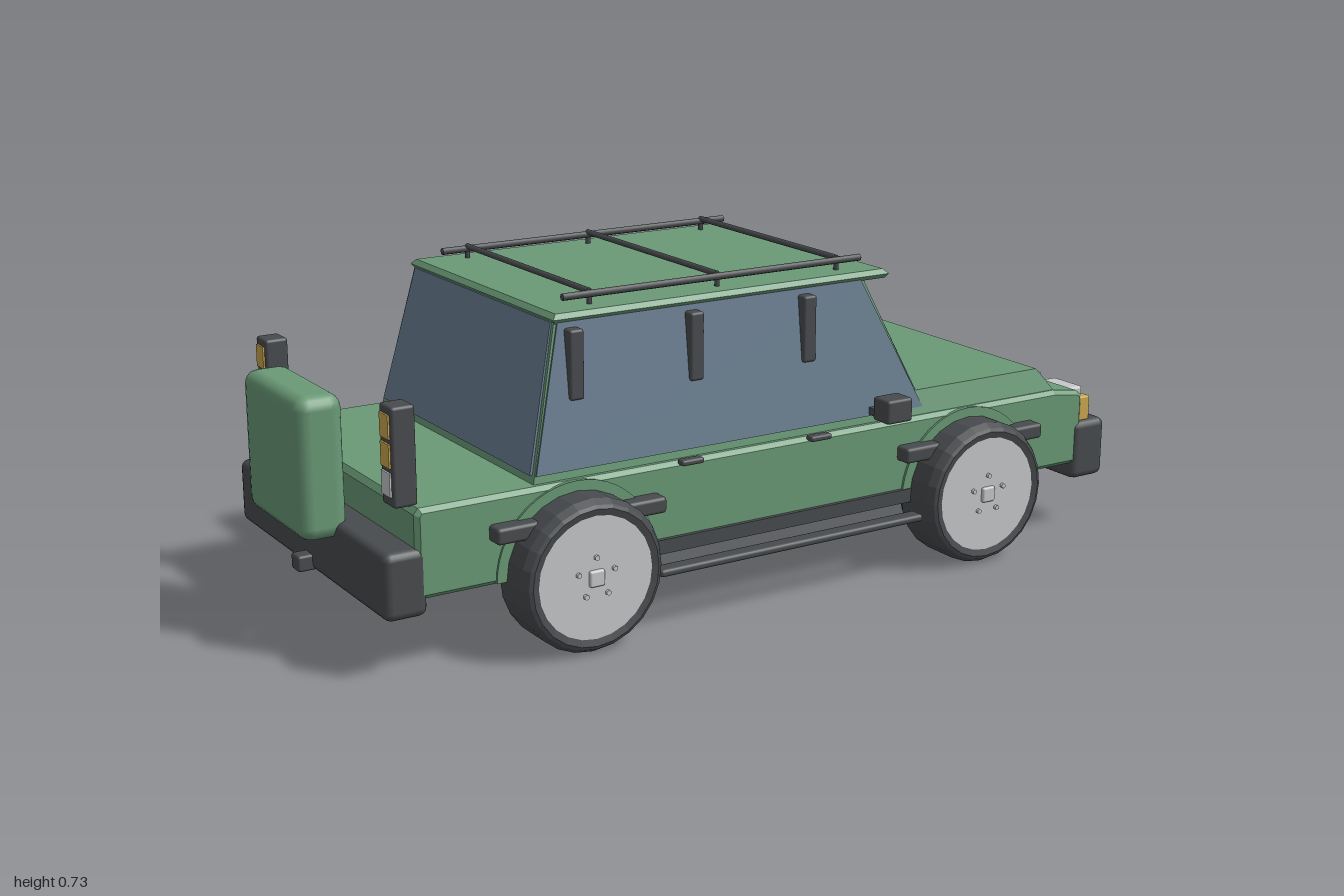
import * as THREE from 'three';
import { RoundedBoxGeometry } from 'three/addons/geometries/RoundedBoxGeometry.js';

const mat = (name, color) => {
  const m = new THREE.MeshStandardMaterial({ color });
  m.name = name;
  return m;
};

export function createModel() {
  const green = mat('body green', 0x6a9a77);
  const glass = mat('window blue', 0x6a7e91);
  const dark = mat('dark trim', 0x484b4e);
  const light = mat('light grey', 0xc6c8ca);
  const amber = mat('amber lamp', 0xcba850);

  const car = new THREE.Group();
  car.name = 'offRoadCar';

  const add = (name, geo, material, parent = car) => {
    const m = new THREE.Mesh(geo, material);
    m.name = name;
    parent.add(m);
    return m;
  };
  // Box given by its limits on each axis, rounded when r > 0
  const box = (name, material, [x0, x1], [y0, y1], [z0, z1], r = 0, parent = car) => {
    const s = [x1 - x0, y1 - y0, z1 - z0];
    const g = r ? new RoundedBoxGeometry(...s, 2, r) : new THREE.BoxGeometry(...s);
    g.translate((x0 + x1) / 2, (y0 + y1) / 2, (z0 + z1) / 2);
    return add(name, g, material, parent);
  };
  // The same box on both sides of the car
  const pair = (name, material, xs, ys, [z0, z1], r = 0) => {
    box(name + 'Left', material, xs, ys, [z0, z1], r);
    box(name + 'Right', material, xs, ys, [-z1, -z0], r);
  };
  // Box with different bottom and top rectangles: [x0, x1, halfZ, y]
  const taper = (name, material, bottom, top) => {
    const g = new THREE.BoxGeometry(1, 1, 1);
    const p = g.attributes.position;
    for (let i = 0; i < p.count; i++) {
      const [x0, x1, hz, y] = p.getY(i) > 0 ? top : bottom;
      p.setXYZ(i, p.getX(i) > 0 ? x1 : x0, y, p.getZ(i) > 0 ? hz : -hz);
    }
    g.computeVertexNormals();
    return add(name, g, material);
  };
  const rod = (name, a, b, r, material = dark) => {
    const from = new THREE.Vector3(...a), to = new THREE.Vector3(...b);
    const dir = to.clone().sub(from);
    const m = add(name, new THREE.CylinderGeometry(r, r, dir.length(), 8), material);
    m.position.copy(from).addScaledVector(dir, 0.5);
    m.quaternion.setFromUnitVectors(new THREE.Vector3(0, 1, 0), dir.normalize());
    return m;
  };

  // Lower body: side profile extruded across the width
  const e = 0.01;
  const profile = new THREE.Shape([
    [-0.855, 0.165], [0.92, 0.165], [0.92, 0.335], [0.905, 0.347], [0.83, 0.358], [-0.845, 0.358], [-0.855, 0.345],
  ].map(([x, y]) => new THREE.Vector2(x, y)));
  const bodyGeo = new THREE.ExtrudeGeometry(profile, {
    depth: 0.776 - 2 * e, bevelEnabled: true, bevelThickness: e, bevelSize: e, bevelOffset: -e, bevelSegments: 1,
  });
  bodyGeo.translate(0, 0, -0.388 + e);
  add('lowerBody', bodyGeo, green);
  taper('hood', green, [0.36, 0.84, 0.377, 0.35], [0.36, 0.79, 0.36, 0.413]);

  // Cabin with window plates on each side
  taper('cabinFrame', green, [-0.58, 0.452, 0.37, 0.35], [-0.502, 0.29, 0.328, 0.685]);
  taper('sideWindows', glass, [-0.572, 0.438, 0.371, 0.375], [-0.496, 0.282, 0.332, 0.683]);
  taper('endWindows', glass, [-0.58, 0.449, 0.357, 0.375], [-0.506, 0.295, 0.32, 0.683]);
  taper('roofEdge', green, [-0.5, 0.35, 0.33, 0.68], [-0.508, 0.357, 0.337, 0.69]);
  taper('roof', green, [-0.508, 0.357, 0.337, 0.69], [-0.498, 0.345, 0.328, 0.701]);
  for (const x of [-0.465, -0.17, 0.125]) {
    pair('windowPillar', dark, [x - 0.017, x + 0.017], [0.52, 0.67], [0.325, 0.36], 0.006);
  }

  // Roof rack
  for (const z of [-0.28, 0.28]) rod('rackRail', [-0.455, 0.722, z], [0.315, 0.722, z], 0.008);
  for (const x of [-0.39, -0.07, 0.25]) {
    rod('rackCrossbar', [x, 0.728, -0.28], [x, 0.728, 0.28], 0.007);
    for (const z of [-0.28, 0.28]) rod('rackFoot', [x, 0.697, z], [x, 0.722, z], 0.006);
  }

  // Bumpers, hitch and skid plate
  box('frontBumper', dark, [0.892, 0.993], [0.125, 0.27], [-0.393, 0.393], 0.018);
  box('rearBumper', dark, [-0.927, -0.832], [0.13, 0.275], [-0.39, 0.39], 0.018);
  box('numberPlate', light, [0.988, 0.997], [0.15, 0.2], [-0.088, 0.088]);
  box('skidPlate', light, [0.925, 0.982], [0.108, 0.13], [-0.155, 0.155]);
  box('towHitch', dark, [-0.96, -0.85], [0.132, 0.168], [-0.02, 0.02], 0.006);

  // Grille and front lamps
  box('grilleFrame', light, [0.9, 0.94], [0.25, 0.35], [-0.212, 0.212]);
  box('grille', dark, [0.935, 0.945], [0.25, 0.34], [-0.193, 0.193]);
  pair('headlight', light, [0.9, 0.953], [0.25, 0.345], [0.25, 0.35], 0.008);
  pair('indicator', amber, [0.92, 0.952], [0.25, 0.327], [0.348, 0.378], 0.004);

  // Spare wheel case and bracket
  box('spareCase', green, [-1, -0.895], [0.24, 0.55], [-0.154, 0.154], 0.03);
  box('spareBracket', dark, [-0.9, -0.855], [0.35, 0.425], [-0.035, 0.035]);

  // Tail lamps with three lenses facing back
  pair('tailLampHousing', dark, [-0.885, -0.832], [0.355, 0.565], [0.297, 0.355], 0.007);
  [light, amber, amber].forEach((m, i) => {
    const y = 0.378 + i * 0.06;
    pair('tailLens', m, [-0.889, -0.88], [y, y + 0.05], [0.306, 0.346]);
  });

  // Mirrors, door handles, sills and side steps
  pair('mirror', dark, [0.265, 0.335], [0.378, 0.433], [0.408, 0.465], 0.007);
  pair('mirrorArm', dark, [0.285, 0.315], [0.378, 0.395], [0.355, 0.412]);
  for (const x of [-0.208, 0.13]) {
    pair('doorHandle', dark, [x - 0.028, x + 0.028], [0.349, 0.362], [0.38, 0.404], 0.005);
  }
  pair('sill', dark, [-0.34, 0.41], [0.16, 0.192], [0.375, 0.398]);
  pair('sideStep', dark, [-0.32, 0.385], [0.129, 0.146], [0.414, 0.453], 0.007);

  // Wheels: faceted tyre ring around a light rim
  const tyreGeo = new THREE.LatheGeometry([
    [0.135, -0.062], [0.15, -0.066], [0.158, -0.062], [0.168, -0.045],
    [0.168, 0.045], [0.158, 0.062], [0.15, 0.066], [0.135, 0.062],
  ].map(([r, y]) => new THREE.Vector2(r, y)), 24).rotateX(Math.PI / 2).toNonIndexed();
  tyreGeo.computeVertexNormals();
  const rimGeo = new THREE.CylinderGeometry(0.138, 0.138, 0.124, 24).rotateX(Math.PI / 2);
  const boltGeo = new THREE.CylinderGeometry(0.006, 0.006, 0.01, 6).rotateX(Math.PI / 2);
  const archGeo = new THREE.CylinderGeometry(0.187, 0.19, 0.02, 24, 1, false, -Math.PI / 2, Math.PI);
  archGeo.rotateX(-Math.PI / 2);
  for (const x of [-0.49, 0.557]) {
    for (const side of [1, -1]) {
      const wheel = new THREE.Group();
      wheel.name = 'wheel';
      wheel.position.set(x, 0.17, side * 0.409);
      if (side < 0) wheel.rotation.y = Math.PI;
      add('tyre', tyreGeo, dark, wheel);
      add('rim', rimGeo, light, wheel);
      box('hub', light, [-0.018, 0.018], [-0.018, 0.018], [0.055, 0.07], 0.005, wheel);
      for (let i = 0; i < 5; i++) {
        const a = Math.PI / 2 + i * Math.PI * 0.4;
        add('bolt', boltGeo, light, wheel).position.set(0.045 * Math.cos(a), 0.045 * Math.sin(a), 0.064);
      }
      car.add(wheel);
      // Raised wheel arch on the body side
      const arch = add('wheelArch', archGeo, green);
      arch.position.set(x, 0.17, side * 0.385);
    }
    pair('fenderBar', dark, [x - 0.202, x + 0.202], [0.262, 0.298], [0.38, 0.426], 0.008);
  }
  return car;
}
